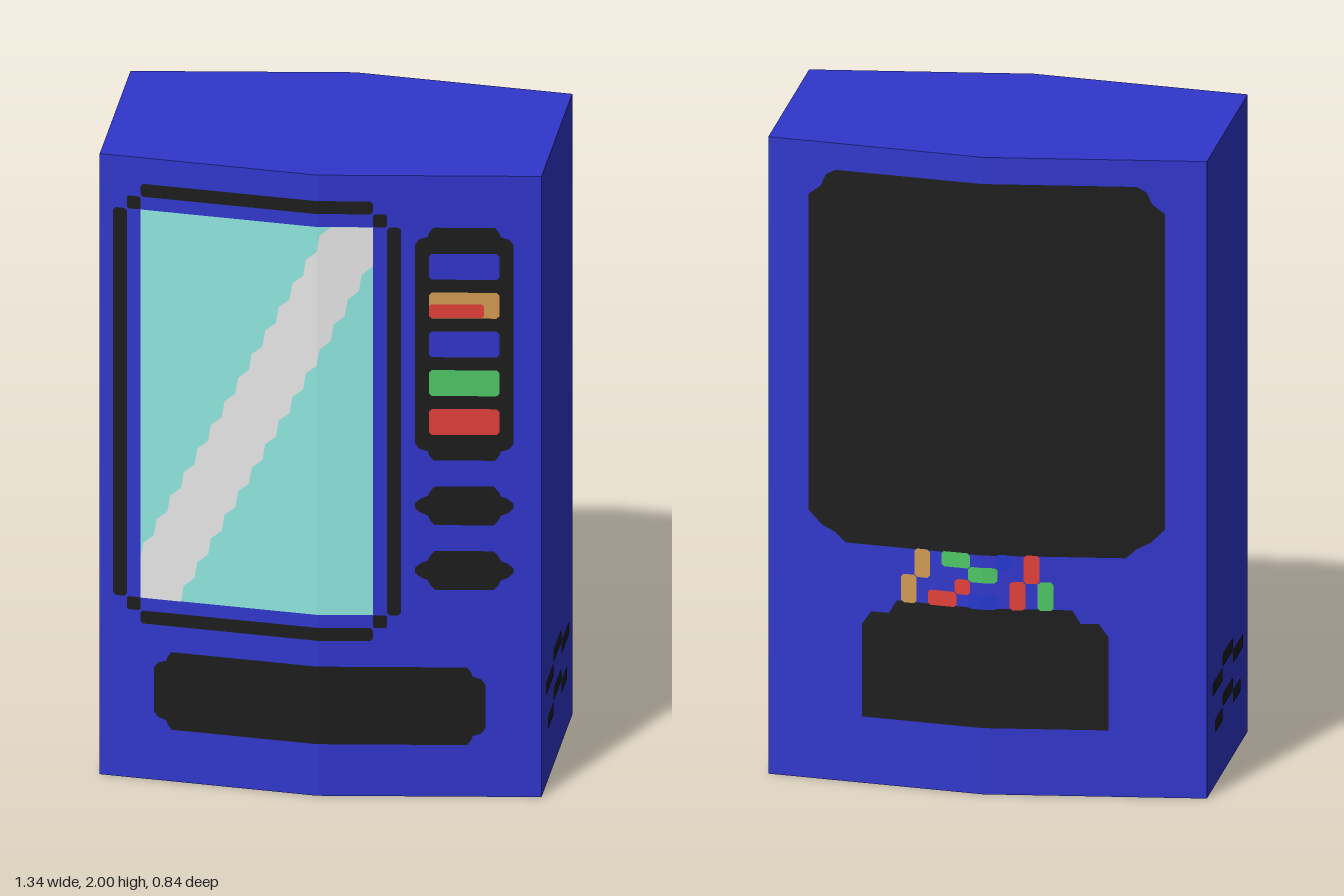
import * as THREE from 'three';

const HALF_W = 2 / 3, SIDE_Z = 1 / 3, MID_Z = 0.415, H = 2;
const P = 1 / 24; // grid step used by all painted details

const mat = (name, color) => {
  const m = new THREE.MeshStandardMaterial({ color });
  m.name = name;
  return m;
};

export function createModel() {
  const blue = mat('cabinet blue', 0x3036cc);
  const wireBlue = mat('wire blue', 0x2438d0);
  const black = mat('trim black', 0x1b1b1b);
  const glass = mat('glass teal', 0x8fe8df);
  const grey = mat('glare grey', 0xe9e9e9);
  const orange = mat('orange', 0xd39b53);
  const red = mat('red', 0xe4403a);
  const green = mat('green', 0x4ec866);

  const model = new THREE.Group();
  model.name = 'vendingMachine';
  const group = (name) => {
    const g = new THREE.Group();
    g.name = name;
    model.add(g);
    return g;
  };

  // Cabinet: prism with a shallow fold down the front and the back
  const plan = [[-HALF_W, -SIDE_Z], [0, -MID_Z], [HALF_W, -SIDE_Z], [HALF_W, SIDE_Z], [0, MID_Z], [-HALF_W, SIDE_Z]];
  const bodyGeo = new THREE.ExtrudeGeometry(
    new THREE.Shape(plan.map(([x, z]) => new THREE.Vector2(x, -z))),
    { depth: H, bevelEnabled: false });
  bodyGeo.rotateX(-Math.PI / 2);
  const body = new THREE.Mesh(bodyGeo, blue);
  body.name = 'cabinet';
  model.add(body);

  // Keep the part of an outline on one side of x = 0
  const clip = (pts, s) => {
    const out = [];
    pts.forEach((a, i) => {
      const b = pts[(i + 1) % pts.length];
      if (a[0] * s >= 0) out.push(a);
      if (a[0] * b[0] < 0) out.push([0, a[1] + (b[1] - a[1]) * a[0] / (a[0] - b[0])]);
    });
    return out;
  };

  // Thin painted face that follows the fold (or a flat side)
  const plate = (parent, name, pts, material, layer = 1, flat = false) => {
    for (const s of flat ? [0] : [-1, 1]) {
      const part = s ? clip(pts, s) : pts;
      if (part.length < 3 || part.every(([x]) => Math.abs(x) < 1e-3)) continue;
      const geo = new THREE.ShapeGeometry(new THREE.Shape(part.map(([x, y]) => new THREE.Vector2(x, y))));
      const pos = geo.attributes.position;
      for (let i = 0; i < pos.count; i++) {
        const z = flat ? HALF_W : MID_Z - (MID_Z - SIDE_Z) * Math.abs(pos.getX(i)) / HALF_W;
        pos.setZ(i, z + 0.0015 * layer);
      }
      geo.computeVertexNormals();
      const mesh = new THREE.Mesh(geo, material);
      mesh.name = name;
      parent.add(mesh);
    }
  };

  // Rectangle with cut corners
  const rect = (x0, x1, y0, y1, c = 0.008) => [
    [x0 + c, y0], [x1 - c, y0], [x1, y0 + c], [x1, y1 - c],
    [x1 - c, y1], [x0 + c, y1], [x0, y1 - c], [x0, y0 + c]];

  // Outline from one corner profile, mirrored into all four quadrants around a centre
  const fourfold = (cx, cy, corner) => {
    const flip = (sx, sy) => corner.map(([x, y]) => [cx + sx * x * P, cy + sy * y * P]);
    return [...flip(1, 1), ...flip(-1, 1).reverse(), ...flip(-1, -1), ...flip(1, -1).reverse()];
  };
  const stepped = (x0, x1, y0, y1) => {
    const w = (x1 - x0) / 2, h = (y1 - y0) / 2;
    return fourfold((x0 + w) * P, (y0 + h) * P,
      [[w, h - 1.3], [w - 0.3, h - 0.9], [w - 0.9, h - 0.7], [w - 1, h - 0.4], [w - 1.3, h]]);
  };

  // Display window with its frame
  const front = group('front');
  const L = -13 * P, R = 4 * P, B = 14 * P, T = 44 * P;
  plate(front, 'window', rect(L, R, B, T, 0), glass);
  for (const x of [L - 2 * P, R + P]) plate(front, 'frameUpright', rect(x, x + P, B, T), black);
  for (const y of [B - 2 * P, T + P]) plate(front, 'frameRail', rect(L, R, y, y + P), black);
  for (const x of [L - P, R])
    for (const y of [B - P, T]) plate(front, 'frameCorner', rect(x, x + P, y, y + P, 0.005), black);

  // Stepped diagonal glare on the glass
  const steps = 14, rise = (T - B - 3 * P) / steps;
  const stair = (x, y) => {
    const out = [[x, y]];
    for (let i = 0; i < steps; i++)
      out.push([x + (i + 0.2) * P, y + (i + 0.65) * rise], [x + (i + 1) * P, y + (i + 1) * rise]);
    return out;
  };
  plate(front, 'glare', [[L, B], ...stair(L + 3 * P, B), [R, T], ...stair(L, B + 3 * P).reverse()], grey, 2);

  // Button panel
  plate(front, 'buttonPanel', stepped(7, 14, 26, 44), black);
  [[28, red], [31, green], [34, blue], [37, orange], [40, blue]].forEach(([row, m]) =>
    plate(front, 'button', rect(8 * P, 13 * P, row * P, (row + 2) * P), m, 2));
  plate(front, 'buttonStripe', rect(8 * P, 11.9 * P, 37.05 * P, 38.1 * P, 0.006), red, 3);

  // Coin and note slots with pointed ends, pickup tray
  for (const row of [16, 21])
    plate(front, 'paymentSlot', fourfold(10.5 * P, (row + 1.5) * P,
      [[3.5, 0.2], [3.1, 0.55], [2.6, 0.75], [2.45, 1.1], [2.1, 1.5]]), black);
  plate(front, 'pickupTray', stepped(-12, 12, 4, 10), black);

  // Vent slits on both sides
  for (const s of [-1, 1]) {
    const side = group(s > 0 ? 'leftVents' : 'rightVents');
    side.rotation.y = s * Math.PI / 2;
    for (const [row, reach] of [[4, 5], [7, 6]]) {
      plate(side, 'vent', rect(-2 * P, 2 * P, (row + 1) * P, (row + 2) * P), black, 1, true);
      plate(side, 'vent', rect(-reach * P, -2 * P, row * P, (row + 1) * P), black, 1, true);
      plate(side, 'vent', rect(2 * P, reach * P, row * P, (row + 1) * P), black, 1, true);
    }
  }

  // Back panels, mirrored from half outlines
  const back = group('back');
  back.rotation.y = Math.PI;
  const mirrored = (half) => [...half, ...half.map(([x, y]) => [-x, y]).reverse()]
    .map(([x, y]) => [x * P, y * P]);
  plate(back, 'upperBackPanel', mirrored(
    [[10.2, 18], [11, 18.7], [12, 19.2], [13, 20.2], [13, 44], [12.1, 44.7], [11.7, 45.6], [11, 46]]), black);
  plate(back, 'lowerBackPanel', mirrored(
    [[9, 5], [9, 12], [8.3, 13], [7, 13], [6.4, 14], [6, 14]]), black);

  // Loose wires between the panels: column, row, width, height
  const e = 0.003;
  [[-5, 16, 1, 2, orange], [-6, 14, 1, 2, orange],
    [-3, 17, 2, 1, green], [-1, 16, 2, 1, green], [4, 14, 1, 2, green],
    [1, 17, 1, 1, wireBlue], [-1, 14, 2, 1, wireBlue],
    [-4, 14, 2, 1, red], [-2, 15, 1, 1, red], [3, 16, 1, 2, red], [2, 14, 1, 2, red]]
    .forEach(([c, r, w, h, m]) =>
      plate(back, 'wire', rect(c * P - e, (c + w) * P + e, r * P - e, (r + h) * P + e), m, 2));

  return model;
}
